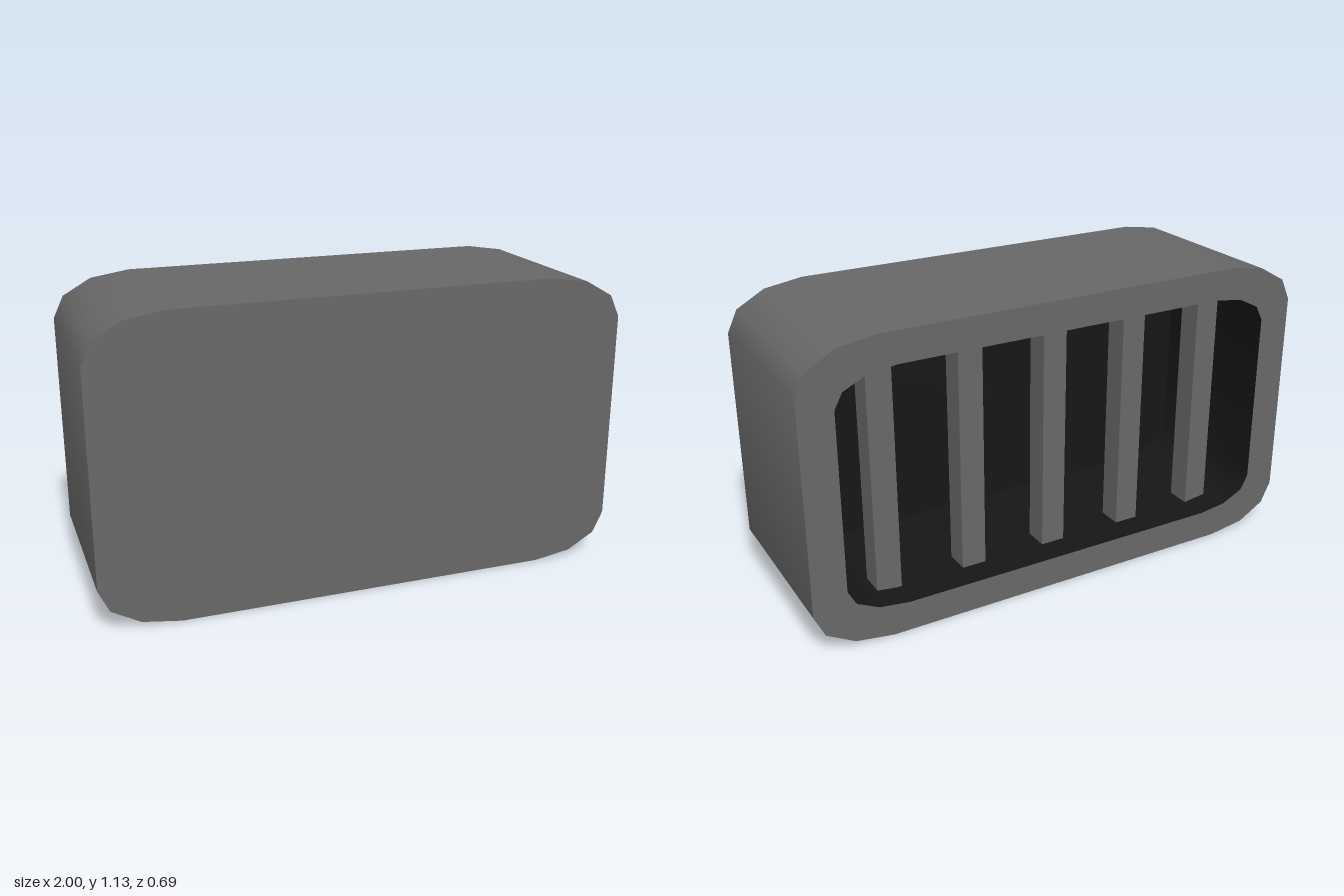
import * as THREE from 'three';
import { toCreasedNormals } from 'three/addons/utils/BufferGeometryUtils.js';

const MID_Y = 0.565;
const CORNER_STEPS = 3;

// Rounded rectangle with elliptical corners, counter-clockwise seen from +z
function ring(halfW, halfH, rx, ry, z) {
  const points = [];
  [[1, 1], [-1, 1], [-1, -1], [1, -1]].forEach(([sx, sy], corner) => {
    for (let i = 0; i <= CORNER_STEPS; i++) {
      const a = (corner + i / CORNER_STEPS) * Math.PI / 2;
      points.push(new THREE.Vector3(
        sx * (halfW - rx) + rx * Math.cos(a),
        MID_Y + sy * (halfH - ry) + ry * Math.sin(a),
        z
      ));
    }
  });
  return points;
}

// Ring collapsed to one point, closing a flat end
function centre(z) {
  return ring(0, 0, 0, 0, z);
}

// Skin a sequence of rings, leaving out collapsed triangles
function skin(rings) {
  const positions = [];
  const triangle = (a, b, c) => {
    if (new THREE.Triangle(a, b, c).getArea() > 1e-8) {
      for (const p of [a, b, c]) positions.push(p.x, p.y, p.z);
    }
  };
  for (let r = 0; r < rings.length - 1; r++) {
    const near = rings[r], far = rings[r + 1];
    for (let i = 0; i < near.length; i++) {
      const j = (i + 1) % near.length;
      triangle(near[i], far[i], near[j]);
      triangle(far[i], far[j], near[j]);
    }
  }
  const geometry = new THREE.BufferGeometry();
  geometry.setAttribute('position', new THREE.Float32BufferAttribute(positions, 3));
  return toCreasedNormals(geometry, 0.8);
}

export function createModel() {
  const model = new THREE.Group();
  model.name = 'slottedHousing';
  const casing = new THREE.MeshStandardMaterial({ color: 0x676767 });
  const lining = new THREE.MeshStandardMaterial({ color: 0x161616 });

  const outer = [1, MID_Y, 0.29, 0.165];
  const inner = [0.873, 0.45, 0.227, 0.113];
  const front = 0.347, back = -0.347, cavityEnd = 0.22;

  // Housing: closed front, rounded sides and flat back rim
  const housing = new THREE.Mesh(skin([
    centre(front),
    ring(...outer, front),
    ring(...outer, back),
    ring(...inner, back),
  ]), casing);
  housing.name = 'housing';
  model.add(housing);

  // Dark lining of the recess behind the rim
  const cavity = new THREE.Mesh(skin([
    ring(...inner, back),
    ring(...inner, cavityEnd),
    centre(cavityEnd),
  ]), lining);
  cavity.name = 'cavity';
  model.add(cavity);

  // Vertical bars across the cavity, sunk slightly into floor and ceiling
  const bars = new THREE.Group();
  bars.name = 'bars';
  const barGeometry = new THREE.BoxGeometry(0.095, 0.92, 0.095);
  for (let i = -2; i <= 2; i++) {
    const bar = new THREE.Mesh(barGeometry, casing);
    bar.name = 'bar';
    bar.position.set(i * 0.342 - 0.009, MID_Y, -0.191);
    bars.add(bar);
  }
  model.add(bars);
  return model;
}
